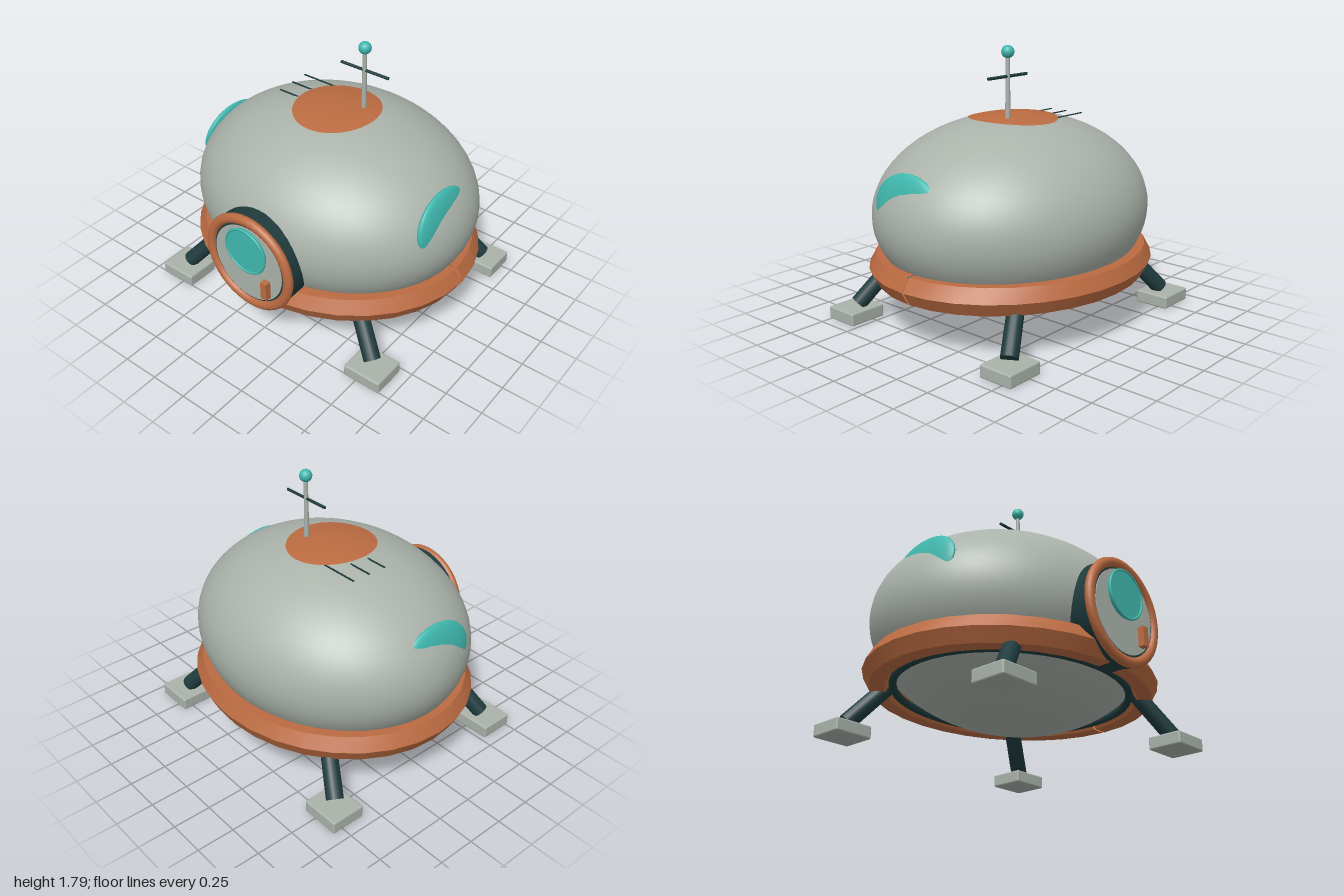
import * as THREE from 'three';
import { toCreasedNormals } from 'three/addons/utils/BufferGeometryUtils.js';
import { RoundedBoxGeometry } from 'three/addons/geometries/RoundedBoxGeometry.js';

const paint = (name, color) => {
  const m = new THREE.MeshStandardMaterial({ color });
  m.name = name;
  return m;
};

export function createModel() {
  const root = new THREE.Group();
  root.name = 'landingPod';
  const grey = paint('pale grey', 0xaab2aa);
  const copper = paint('copper', 0xbb6b41);
  const dark = paint('dark teal', 0x1f3b3d);
  const teal = paint('bright teal', 0x3fb8ae);
  copper.side = THREE.DoubleSide;

  const add = (name, geometry, material, x = 0, y = 0, z = 0, parent = root) => {
    const mesh = new THREE.Mesh(geometry, material);
    mesh.name = name;
    mesh.position.set(x, y, z);
    parent.add(mesh);
    return mesh;
  };
  // Cylinder lying along z, from z0 to z1
  const disc = (name, r, z0, z1, material, x, y) =>
    add(name, new THREE.CylinderGeometry(r, r, z1 - z0, 40).rotateX(Math.PI / 2), material, x, y, (z0 + z1) / 2);
  // Round bar between two points
  const bar = (name, a, b, rA, rB, material) => {
    const dir = b.clone().sub(a);
    const mesh = add(name, new THREE.CylinderGeometry(rB, rA, dir.length(), 16), material);
    mesh.position.copy(a).addScaledVector(dir, 0.5);
    mesh.quaternion.setFromUnitVectors(new THREE.Vector3(0, 1, 0), dir.normalize());
    return mesh;
  };

  // Hull: squashed ellipsoid
  const HX = 0.98, HY = 0.615, HZ = 0.835, CY = 0.727, CZ = -0.03;
  add('hull', new THREE.SphereGeometry(1, 56, 36).scale(HX, HY, HZ), grey, 0, CY, CZ);

  // Copper roof patch draped over the hull
  const cap = new THREE.RingGeometry(0.001, 1, 40, 6).rotateX(-Math.PI / 2).scale(0.28, 1, 0.3);
  const p = cap.attributes.position;
  for (let i = 0; i < p.count; i++) {
    const u = p.getX(i) / HX, v = p.getZ(i) / HZ;
    p.setY(i, HY * Math.sqrt(1 - u * u - v * v) + 0.006);
  }
  cap.computeVertexNormals();
  add('roofCap', cap, copper, 0, CY, CZ);

  // Six-sided skirt ring with a hairline joint on the left, and its dark inner seal
  const skirt = new THREE.TorusGeometry(0.9, 0.1, 6, 32, Math.PI * 2 - 0.018)
    .rotateX(Math.PI / 2).scale(1, 1, 0.972);
  skirt.scale(1, 1, 0.9);
  add('skirtRing', toCreasedNormals(skirt, 0.6), copper, 0, 0.392, CZ);
  add('skirtSeal', new THREE.TorusGeometry(0.8, 0.026, 8, 48).rotateX(Math.PI / 2).scale(1, 1, 0.87),
    dark, 0, 0.335, CZ);

  // Round hatch on the front
  const DY = 0.63;
  disc('hatchTunnel', 0.332, 0.7, 0.84, dark, 0, DY);
  add('hatchRing', new THREE.TorusGeometry(0.311, 0.034, 10, 40).scale(1, 1, 0.85), copper, 0, DY, 0.852);
  disc('hatchGasket', 0.292, 0.8, 0.858, dark, 0, DY);
  disc('hatchDoor', 0.268, 0.8, 0.864, grey, 0, DY);
  disc('hatchWindow', 0.152, 0.85, 0.886, teal, 0, 0.735);
  add('hatchWindowRim', new THREE.TorusGeometry(0.154, 0.009, 8, 40), teal, 0, 0.735, 0.884);
  add('hatchHandle', new THREE.BoxGeometry(0.046, 0.125, 0.045), copper, 0.152, 0.507, 0.883);

  // Side windows: tilted lenses half sunk in the hull
  for (const s of [1, -1]) {
    const lens = add(s > 0 ? 'leftWindow' : 'rightWindow',
      new THREE.SphereGeometry(1, 32, 24).scale(0.048, 0.198, 0.265), teal, s * 0.868, 0.88, 0.05);
    lens.rotation.z = s * 0.15;
  }

  // Antenna
  const AX = 0.145, AZ = -0.115;
  add('antennaMast', new THREE.CylinderGeometry(0.013, 0.018, 0.44, 12), grey, AX, 1.51, AZ);
  add('antennaBall', new THREE.SphereGeometry(0.041, 20, 14), teal, AX, 1.753, AZ);
  add('antennaCrossbar', new THREE.CylinderGeometry(0.01, 0.01, 0.36, 10).rotateZ(Math.PI / 2), dark, AX, 1.6, AZ);

  // Thin roof vanes
  for (const z of [-0.245, -0.118, 0.008])
    add('roofVane', new THREE.BoxGeometry(0.27, 0.006, 0.01), dark, -0.31, 1.31, z);

  // Four splayed legs with block feet
  for (const sx of [1, -1]) for (const sz of [1, -1]) {
    const foot = new RoundedBoxGeometry(0.265, 0.085, 0.235, 2, 0.012);
    add('foot', foot, grey, sx * 0.795, 0.0425, CZ + sz * 0.675);
    bar('legStrut', new THREE.Vector3(sx * 0.785, 0.1, CZ + sz * 0.66),
      new THREE.Vector3(sx * 0.555, 0.385, CZ + sz * 0.525), 0.055, 0.053, dark);
  }
  return root;
}
